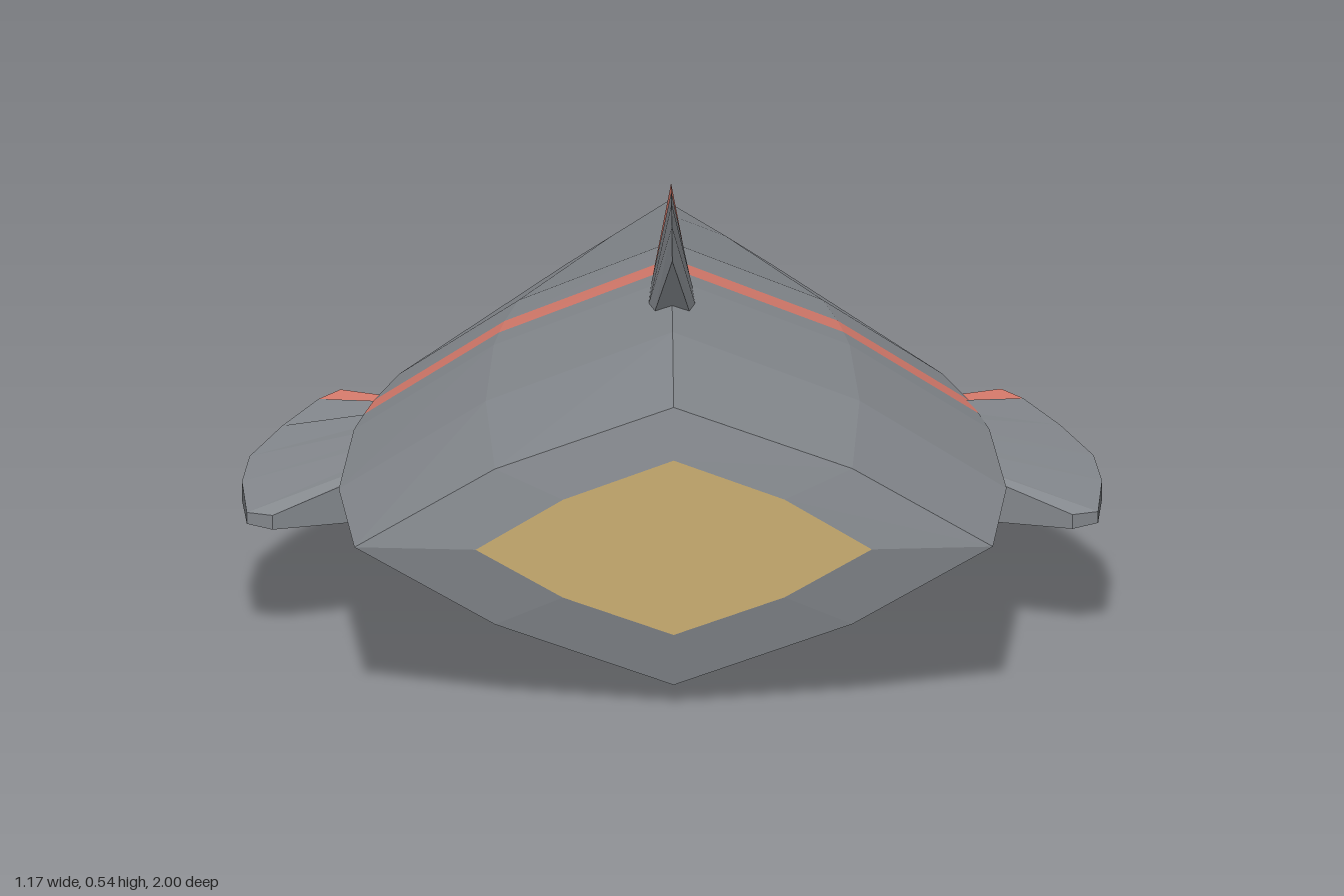
import * as THREE from 'three';

const material = (name, color) => {
  const m = new THREE.MeshStandardMaterial({ color, flatShading: true });
  m.name = name;
  return m;
};

// Skin over rings of points, each anticlockwise seen from +z and ordered from -z to +z
function loft(rings, capBack, capFront) {
  const pos = [];
  const tri = (a, b, c) => pos.push(...a, ...b, ...c);
  for (let s = 0; s < rings.length - 1; s++) {
    const r0 = rings[s], r1 = rings[s + 1], n = r0.length;
    for (let i = 0; i < n; i++) {
      const j = (i + 1) % n;
      tri(r0[i], r0[j], r1[j]);
      tri(r0[i], r1[j], r1[i]);
    }
  }
  const first = rings[0], last = rings[rings.length - 1];
  for (let i = 1; i < first.length - 1; i++) {
    if (capBack) tri(first[0], first[i + 1], first[i]);
    if (capFront) tri(last[0], last[i], last[i + 1]);
  }
  const g = new THREE.BufferGeometry();
  g.setAttribute('position', new THREE.Float32BufferAttribute(pos, 3));
  g.computeVertexNormals();
  return g;
}

// Eight-sided lens-shaped hull section
function hullRing([z, w, mid, top, bottom]) {
  const k = 0.56, up = mid + k * (top - mid), down = mid + k * (bottom - mid);
  return [
    [w, mid, z], [k * w, up, z], [0, top, z], [-k * w, up, z],
    [-w, mid, z], [-k * w, down, z], [0, bottom, z], [k * w, down, z],
  ];
}

export function createModel() {
  const grey = material('hull grey', 0x868a8f);
  const red = material('stripe red', 0xd97c6d);
  const gold = material('engine gold', 0xcbae72);

  const model = new THREE.Group();
  model.name = 'spacecraft';
  const add = (parent, name, geometry, mat) => {
    const mesh = new THREE.Mesh(geometry, mat);
    mesh.name = name;
    parent.add(mesh);
  };
  const group = (name) => {
    const g = new THREE.Group();
    g.name = name;
    model.add(g);
    return g;
  };

  // Hull: z, half width, height of side edge, top, bottom
  const hull = [
    [-1, 0.018, 0.19, 0.205, 0.175],
    [-0.67, 0.14, 0.2, 0.27, 0.13],
    [0, 0.37, 0.215, 0.4, 0.04],
    [0.155, 0.405, 0.217, 0.416, 0.022],
    [0.24, 0.419, 0.219, 0.424, 0.012],
    [0.33, 0.433, 0.22, 0.432, 0.004],
    [0.66, 0.455, 0.22, 0.44, 0],
    [0.985, 0.435, 0.22, 0.416, 0.026],
    [1, 0.27, 0.22, 0.345, 0.1],
  ].map(hullRing);
  const body = group('hull');
  add(body, 'nose', loft(hull.slice(0, 4), true, false), grey);
  add(body, 'hullStripe', loft(hull.slice(3, 5), false, false), red);
  add(body, 'rearHull', loft(hull.slice(4), false, false), grey);

  // Engine outlet closing the hull end
  const outlet = new THREE.BufferGeometry();
  const rim = hull[hull.length - 1];
  const fan = [];
  for (let i = 1; i < rim.length - 1; i++) fan.push(...rim[0], ...rim[i], ...rim[i + 1]);
  outlet.setAttribute('position', new THREE.Float32BufferAttribute(fan, 3));
  outlet.computeVertexNormals();
  add(body, 'engineOutlet', outlet, gold);

  // Dorsal fin: crest z and y, base z and y, base half width
  const fin = [
    [-0.205, 0.404, -0.2, 0.368, 0.008],
    [0.155, 0.522, 0.155, 0.395, 0.024],
    [0.24, 0.531, 0.24, 0.4, 0.028],
    [0.33, 0.537, 0.33, 0.41, 0.031],
    [0.45, 0.535, 0.43, 0.42, 0.032],
    [0.543, 0.51, 0.49, 0.425, 0.024],
  ].map(([zt, yt, zb, yb, w]) => [[w, yb, zb], [0, yt, zt], [-w, yb, zb]]);
  const dorsal = group('dorsalFin');
  add(dorsal, 'finFront', loft(fin.slice(0, 2), true, false), grey);
  add(dorsal, 'finStripe', loft(fin.slice(1, 3), false, false), red);
  add(dorsal, 'finRear', loft(fin.slice(2), false, true), grey);

  // Side wings: edge x, edge top y, edge bottom y, edge z, root z, root top y, root bottom y
  const wing = [
    [0.45, 0.206, 0.2, 0.05, 0.17, 0.215, 0.18],
    [0.48, 0.202, 0.187, 0.087, 0.205, 0.225, 0.16],
    [0.53, 0.193, 0.165, 0.2, 0.28, 0.245, 0.148],
    [0.575, 0.183, 0.152, 0.33, 0.36, 0.25, 0.145],
    [0.586, 0.178, 0.152, 0.45, 0.42, 0.25, 0.145],
    [0.58, 0.172, 0.156, 0.6, 0.48, 0.25, 0.145],
    [0.545, 0.172, 0.152, 0.617, 0.5, 0.25, 0.145],
  ];
  for (const [name, side] of [['leftWing', 1], ['rightWing', -1]]) {
    const rings = wing.map(([x, yt, yb, z, rz, rt, rb]) => {
      const ring = [[x, yt, z], [0.3, rt, rz], [0.3, rb, rz], [x, yb, z]]
        .map(([px, py, pz]) => [px * side, py, pz]);
      return side > 0 ? ring : ring.reverse();
    });
    const g = group(name);
    add(g, 'wingLeadingStripe', loft(rings.slice(0, 2), true, false), red);
    add(g, 'wingPanel', loft(rings.slice(1), false, true), grey);
  }

  return model;
}
